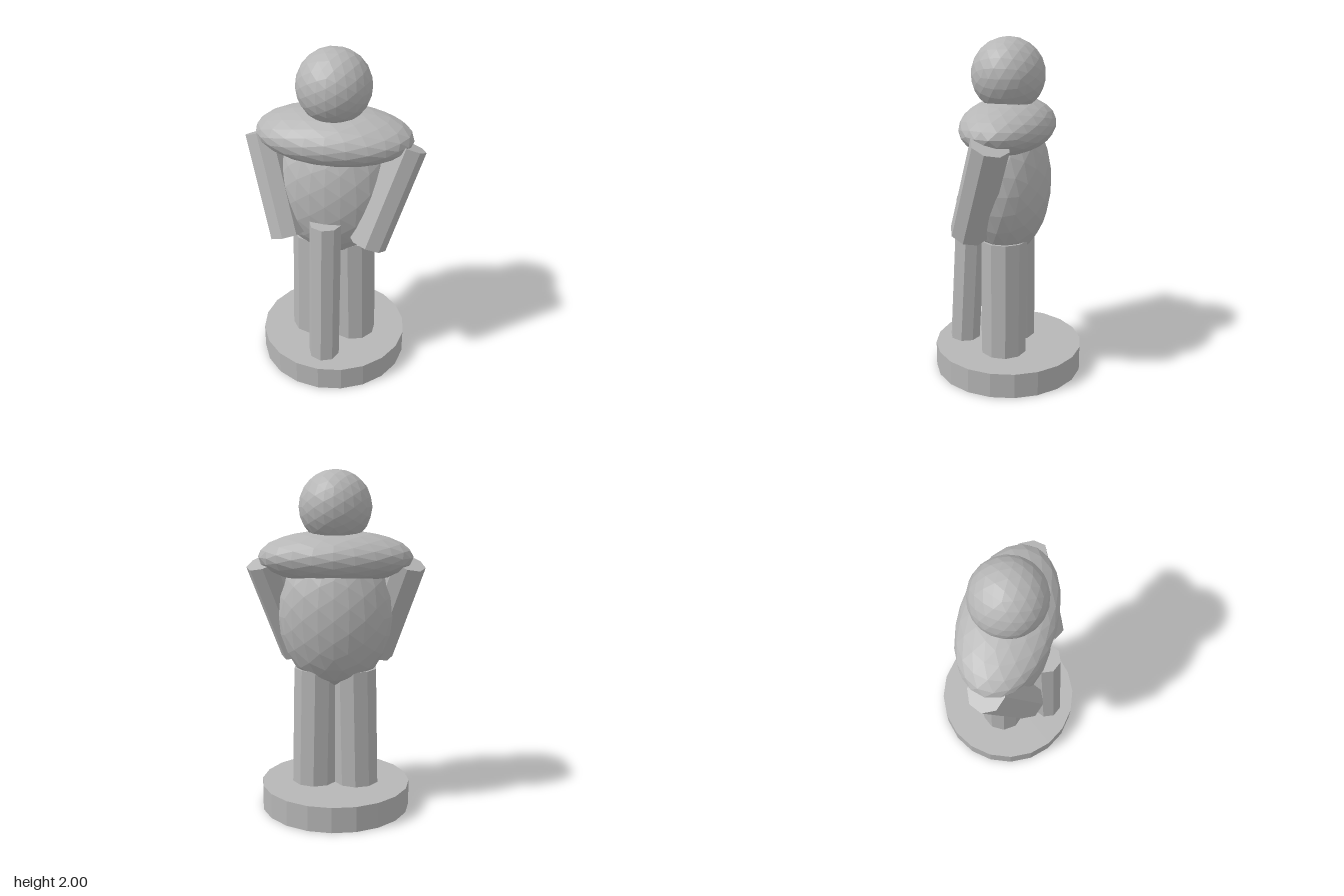
import * as THREE from 'three';

export function createModel() {
  const model = new THREE.Group();
  model.name = 'statue';
  const stone = new THREE.MeshStandardMaterial({ color: 0xb6b6b6, flatShading: true });
  stone.name = 'grey stone';

  function add(name, geometry) {
    const mesh = new THREE.Mesh(geometry, stone);
    mesh.name = name;
    model.add(mesh);
    return mesh;
  }

  // Faceted ellipsoid centred on the vertical axis
  function blob(name, y, rx, ry, rz) {
    const geometry = new THREE.IcosahedronGeometry(1, 3);
    geometry.scale(rx, ry, rz);
    geometry.computeVertexNormals();
    add(name, geometry).position.y = y;
  }

  // Straight faceted limb between two points
  function limb(name, from, to, radius, sides) {
    const a = new THREE.Vector3(...from);
    const b = new THREE.Vector3(...to);
    const dir = b.clone().sub(a);
    const mesh = add(name, new THREE.CylinderGeometry(radius, radius, dir.length(), sides));
    mesh.position.copy(a).add(b).multiplyScalar(0.5);
    mesh.quaternion.setFromUnitVectors(new THREE.Vector3(0, 1, 0), dir.normalize());
  }

  // Round plinth
  add('base', new THREE.CylinderGeometry(0.445, 0.445, 0.15, 20)).position.y = 0.075;

  // Torso, shoulder mass and head
  blob('torso', 1.165, 0.335, 0.43, 0.247);
  blob('shoulders', 1.505, 0.45, 0.155, 0.266);
  blob('head', 1.79, 0.211, 0.211, 0.211);

  // Legs and arms, mirrored
  for (const [side, s] of [['left', 1], ['right', -1]]) {
    limb(side + 'Leg', [s * 0.125, 0.14, 0], [s * 0.11, 0.85, 0], 0.137, 10);
    limb(side + 'Arm', [s * 0.235, 0.915, 0.175], [s * 0.415, 1.475, -0.002], 0.11, 8);
  }

  // Leaning post in front of the figure
  limb('frontPost', [0, 0.14, 0.278], [0, 1.05, 0.225], 0.092, 8);

  return model;
}
